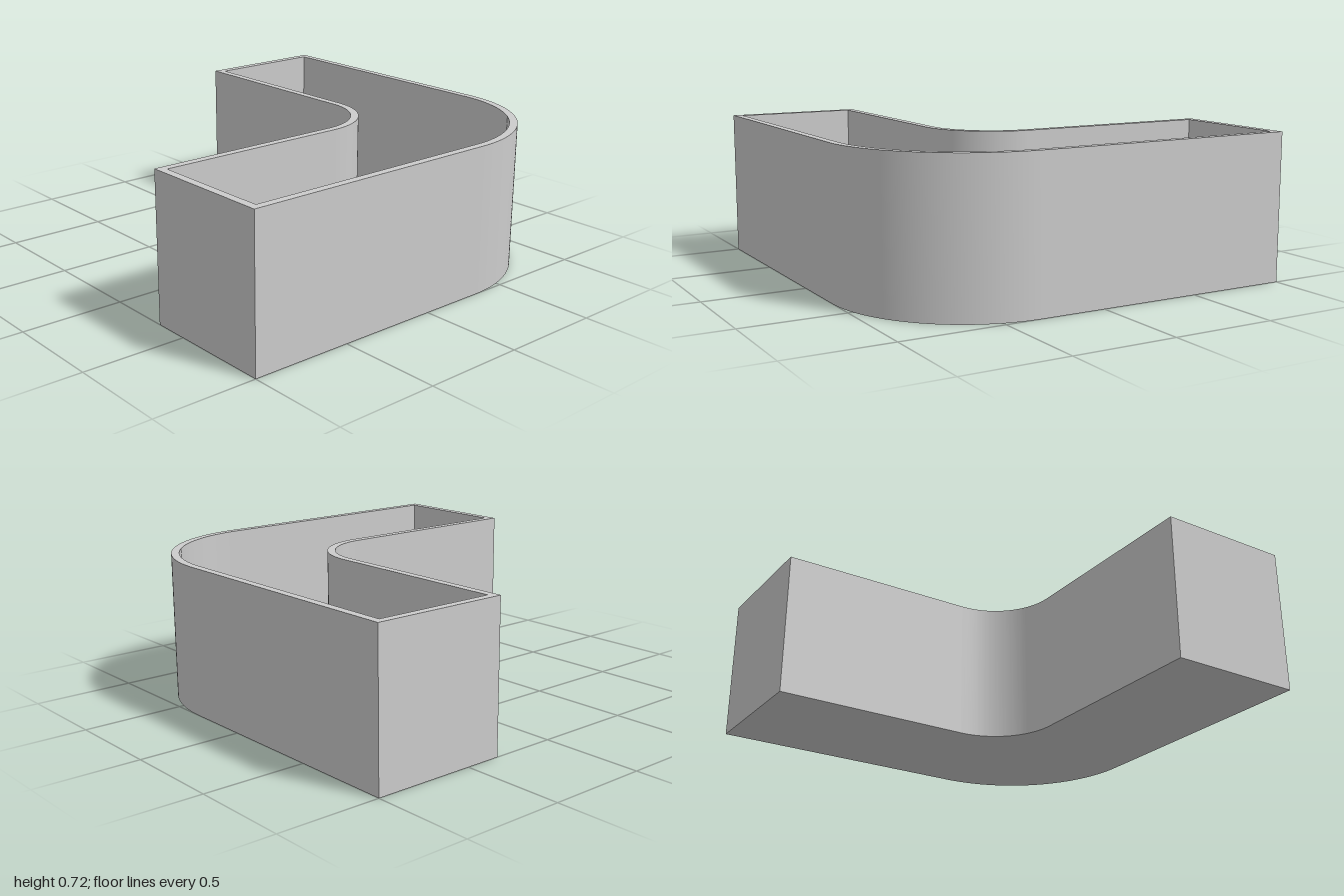
import * as THREE from 'three';
import { toCreasedNormals } from 'three/addons/utils/BufferGeometryUtils.js';

const HEIGHT = 0.724, WALL = 0.039, FLOOR = 0.062;
const INNER = 0.324; // x of the inner side, also the outer bend's centre

// L-shaped outline with a rounded outer bend and a rounded inner bend,
// shrunk inwards by d. Drawn counter-clockwise in x and -z.
function trace(path, d) {
  const end = 1 - d, side = INNER + d;
  path.moveTo(-end, end);
  path.lineTo(-end, side);
  path.lineTo(0, side);
  path.absarc(0, 0, side, Math.PI / 2, 0, true);
  path.lineTo(side, -end);
  path.lineTo(end, -end);
  path.lineTo(end, INNER);
  path.absarc(INNER, INNER, end - INNER, 0, Math.PI / 2, false);
  path.closePath();
  return path;
}

// Upright extrusion with smooth bends and sharp corners
function upright(shape, depth, y) {
  const geometry = new THREE.ExtrudeGeometry(shape, { depth, bevelEnabled: false, curveSegments: 32 });
  geometry.rotateX(-Math.PI / 2);
  geometry.translate(0, y, 0);
  return toCreasedNormals(geometry, Math.PI / 6);
}

export function createModel() {
  const group = new THREE.Group();
  group.name = 'cornerPlanter';
  const grey = new THREE.MeshStandardMaterial({ color: 0xcccccc });
  grey.name = 'grey';

  // Solid base slab, filling the inside of the wall
  const base = new THREE.Mesh(upright(trace(new THREE.Shape(), WALL), FLOOR, 0), grey);
  base.name = 'base';

  // Thin wall running all the way round, from the ground to the rim
  const ring = trace(new THREE.Shape(), 0);
  ring.holes.push(trace(new THREE.Path(), WALL));
  const wall = new THREE.Mesh(upright(ring, HEIGHT, 0), grey);
  wall.name = 'wall';

  group.add(base, wall);
  return group;
}
